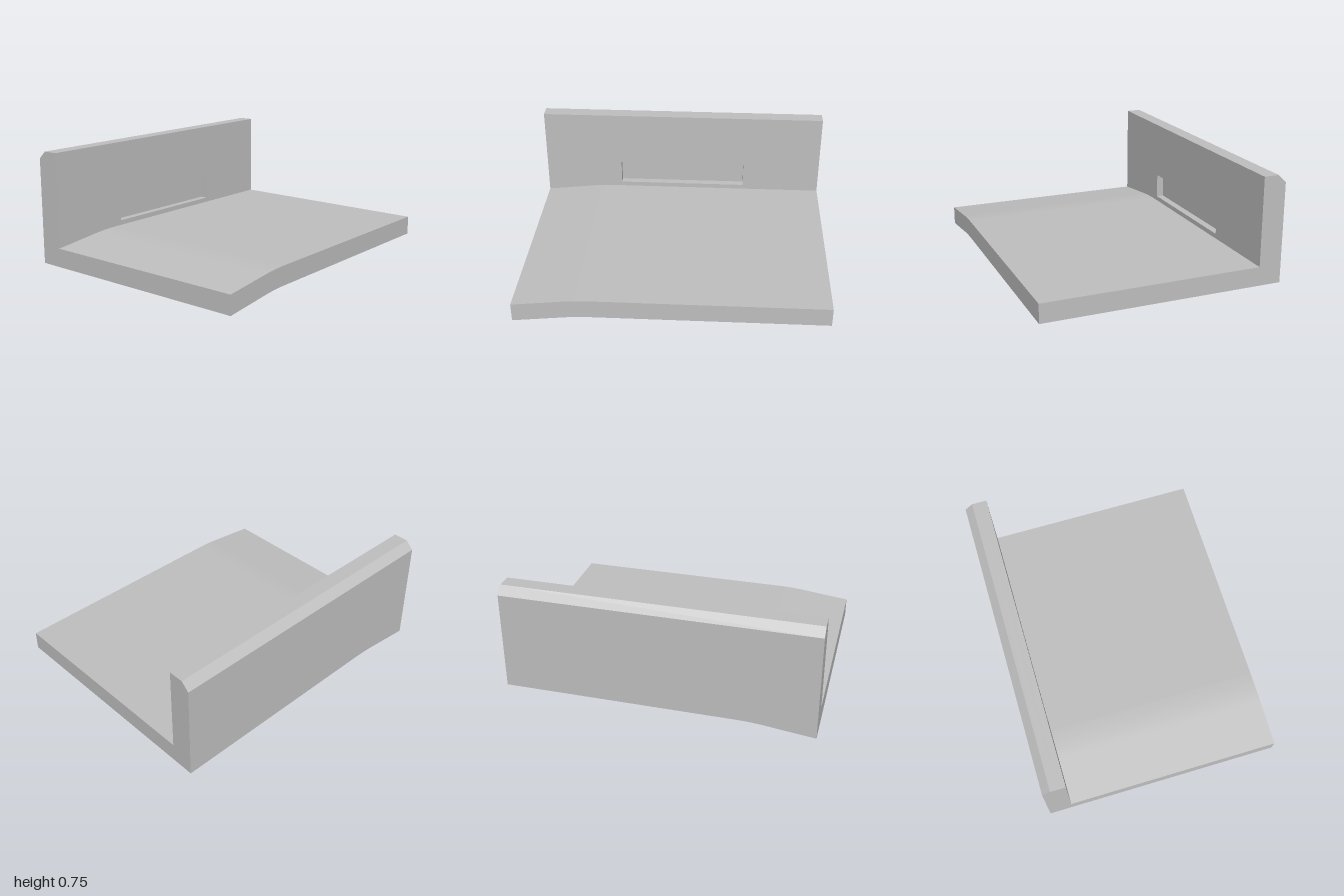
import * as THREE from 'three';

const BACK = -0.787, FRONT = 0.787, WALL_FRONT = -0.637;
const POCKET_BACK = -0.687, CHAMFER_Z = -0.735;
const TOP = 0.747, CHAMFER_Y = 0.697, PLATE = 0.124;

// Ramp that levels out smoothly: the underside from -x to +x, raised by dy
function rampLine(shape, dy) {
  shape.moveTo(-1, dy);
  shape.lineTo(-0.7, 0.0345 + dy);
  shape.quadraticCurveTo(-0.6, 0.047 + dy, -0.5, 0.047 + dy);
  shape.lineTo(1, 0.047 + dy);
}

// Extrude a shape between two z positions
function slab(shape, z0, z1) {
  const g = new THREE.ExtrudeGeometry(shape, { depth: z1 - z0, bevelEnabled: false, curveSegments: 10 });
  return g.translate(0, 0, z0);
}

function wallShape() {
  const s = new THREE.Shape();
  rampLine(s, PLATE);
  s.lineTo(1, TOP);
  s.lineTo(-1, TOP);
  s.closePath();
  return s;
}

export function createModel() {
  const group = new THREE.Group();
  const grey = new THREE.MeshStandardMaterial({ color: 0xbfbfbf });
  grey.name = 'grey';

  function add(name, geometry) {
    const mesh = new THREE.Mesh(geometry, grey);
    mesh.name = name;
    group.add(mesh);
  }

  // Base plate with one end bent down
  const plate = new THREE.Shape();
  rampLine(plate, 0);
  plate.lineTo(1, 0.047 + PLATE);
  plate.lineTo(-0.5, 0.047 + PLATE);
  plate.quadraticCurveTo(-0.6, 0.047 + PLATE, -0.7, 0.0345 + PLATE);
  plate.lineTo(-1, PLATE);
  plate.closePath();
  add('basePlate', slab(plate, BACK, FRONT));

  // Front layer of the wall, cut by the shallow pocket
  const face = wallShape();
  const pocket = new THREE.Path();
  pocket.moveTo(-0.45, 0.203);
  pocket.lineTo(-0.45, 0.368);
  pocket.lineTo(0.45, 0.368);
  pocket.lineTo(0.45, 0.203);
  pocket.closePath();
  face.holes.push(pocket);
  add('wallFace', slab(face, POCKET_BACK, WALL_FRONT));

  // Solid core, forming the floor of the pocket
  add('wallCore', slab(wallShape(), CHAMFER_Z, POCKET_BACK));

  // Back layer, its rear top edge lowered into a chamfer
  const back = slab(wallShape(), BACK, CHAMFER_Z);
  const p = back.attributes.position;
  for (let i = 0; i < p.count; i++) {
    if (p.getY(i) > TOP - 0.01 && p.getZ(i) < BACK + 0.01) p.setY(i, CHAMFER_Y);
  }
  back.computeVertexNormals();
  add('wallBack', back);

  return group;
}
